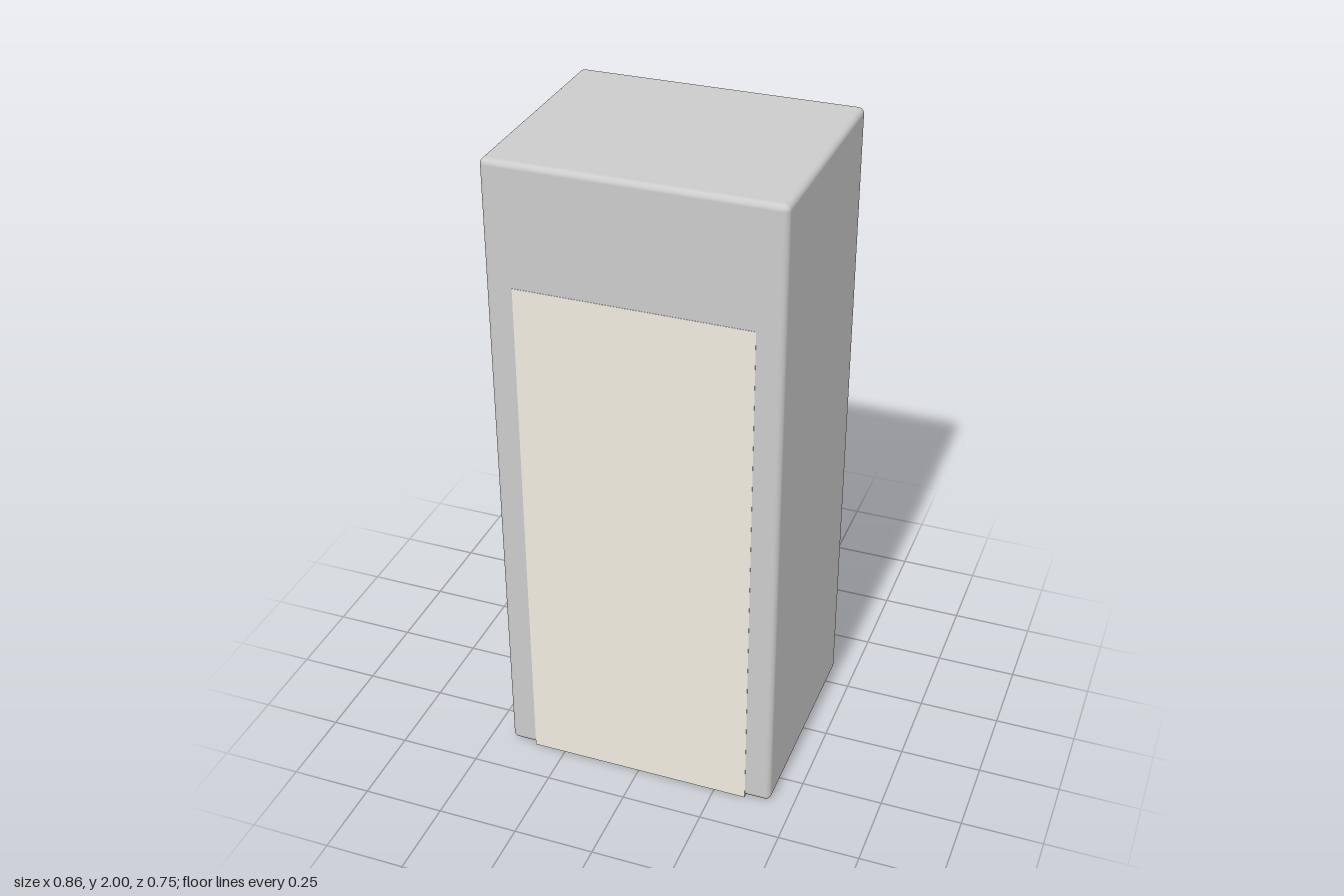
import * as THREE from 'three';
import { RoundedBoxGeometry } from 'three/addons/geometries/RoundedBoxGeometry.js';

const grey = new THREE.MeshStandardMaterial({ color: 0xcccccc });
const cream = new THREE.MeshStandardMaterial({ color: 0xefebdf });
const blue = new THREE.MeshStandardMaterial({ color: 0x99c5da });

const BACK = -0.333; // back face of the body

function part(group, name, geometry, material, x = 0, y = 0, z = 0) {
  const mesh = new THREE.Mesh(geometry, material);
  mesh.name = name;
  mesh.position.set(x, y, z);
  group.add(mesh);
  return mesh;
}

// Trace a rectangle between two corners into a shape or hole path
function rect(path, x0, y0, x1, y1) {
  path.moveTo(x0, y0);
  path.lineTo(x1, y0);
  path.lineTo(x1, y1);
  path.lineTo(x0, y1);
  path.closePath();
  return path;
}

// Extrude a shape backwards from the back face by the given depth
function raised(shape, depth) {
  const g = new THREE.ExtrudeGeometry(shape, { depth, bevelEnabled: false });
  g.translate(0, 0, BACK - depth);
  return g;
}

export function createModel() {
  const model = new THREE.Group();
  model.name = 'cabinet';

  // Body with softly rounded edges
  part(model, 'body', new RoundedBoxGeometry(0.86, 1.995, 0.703, 3, 0.018), grey, 0, 1.0025, 0.0185);

  // Pale inner lining, flush with the front, back and bottom
  part(model, 'lining', new THREE.BoxGeometry(0.7, 1.63, 0.705), cream, 0, 0.815, 0.0185);

  // Door frame with a large opening and two columns of vent slots
  const frame = rect(new THREE.Shape(), -0.36, 0.22, 0.36, 1.9);
  frame.holes.push(rect(new THREE.Path(), -0.275, 0.25, 0.275, 1.32));
  for (let i = 0; i < 8; i++) {
    const y = 1.835 - i * 0.07;
    for (const side of [-1, 1]) {
      frame.holes.push(rect(new THREE.Path(), side * 0.15, y - 0.015, side * 0.325, y + 0.015));
    }
  }
  part(model, 'doorFrame', raised(frame, 0.008), grey);

  // Inset panel in the opening
  part(model, 'doorPanel', new THREE.BoxGeometry(0.538, 1.058, 0.006), cream, 0, 0.785, BACK - 0.002);

  // Blue window between the vents
  part(model, 'window', new THREE.BoxGeometry(0.36, 0.6, 0.01), blue, 0, 1.64, BACK - 0.005);

  // Tapered lever handle with a curved inner shoulder
  const lever = new THREE.Shape();
  lever.moveTo(-0.36, 1.18);
  lever.lineTo(-0.36, 0.85);
  lever.quadraticCurveTo(-0.36, 0.8, -0.35, 0.76);
  lever.lineTo(-0.305, 0.565);
  lever.lineTo(-0.275, 0.565);
  lever.lineTo(-0.275, 0.89);
  lever.quadraticCurveTo(-0.275, 0.95, -0.29, 1.0);
  lever.lineTo(-0.337, 1.16);
  lever.lineTo(-0.342, 1.18);
  lever.closePath();
  part(model, 'handle', raised(lever, 0.042), grey);

  return model;
}
